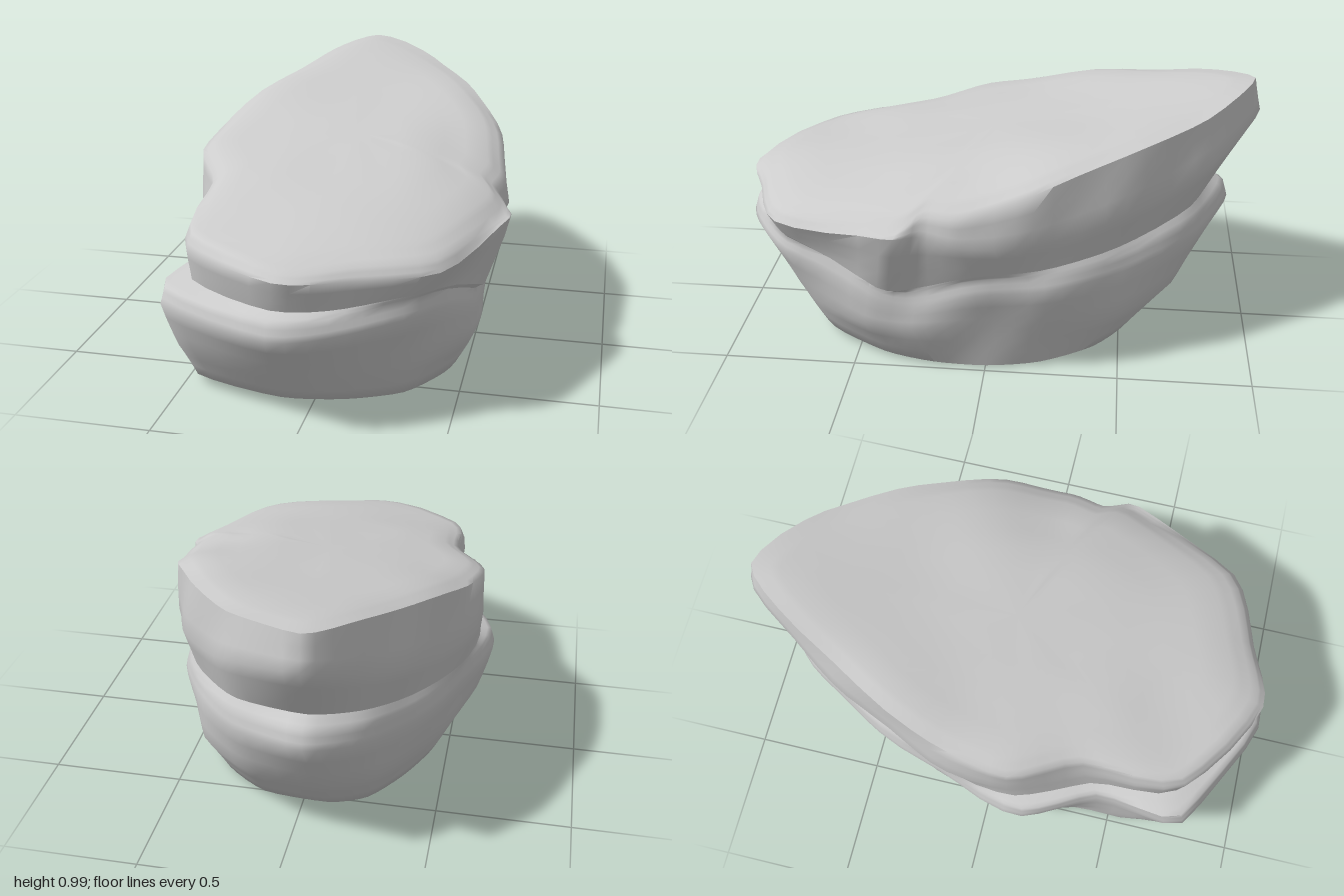
import * as THREE from 'three';
import { toCreasedNormals } from 'three/addons/utils/BufferGeometryUtils.js';

const SEGMENTS = 64;

// Outlines as x, z pairs: front, then round by +x, the back and -x
const FOOT = [-.1, .77, .13, .73, .31, .62, .43, .4, .47, .2, .47, 0, .43, -.2, .32, -.4,
  .15, -.53, -.1, -.56, -.24, -.49, -.35, -.32, -.44, -.1, -.49, .12, -.48, .43, -.44, .65];
const FLANK = [-.1, .87, .14, .82, .35, .69, .52, .45, .54, .27, .52, .02, .48, -.22, .38, -.5,
  .18, -.69, -.1, -.75, -.27, -.65, -.41, -.44, -.52, -.15, -.59, .15, -.5, .45, -.48, .73];
const SHOULDER = [-.08, 1, .17, .92, .39, .77, .53, .43, .54, .26, .55, .03, .53, -.22, .41, -.5,
  .2, -.77, -.08, -.9, -.27, -.77, -.42, -.52, -.55, -.18, -.64, .17, -.51, .44, -.52, .78];
const CRACK = [-.08, .93, .16, .89, .4, .76, .56, .39, .53, .25, .55, .03, .52, -.2, .39, -.48,
  .18, -.74, -.08, -.83, -.25, -.72, -.39, -.51, -.54, -.18, -.59, .13, -.47, .4, -.42, .73];
const BULGE = [-.06, .98, .18, .91, .46, .78, .64, .35, .59, .22, .62, .08, .57, -.18, .42, -.5,
  .2, -.81, -.1, -1, -.27, -.8, -.41, -.56, -.56, -.2, -.6, .1, -.48, .37, -.43, .75];

const blob = (x, z, cx, cz, r) => Math.exp(-((x - cx) ** 2 + (z - cz) ** 2) / (r * r));
const back = z => Math.max(0, -z) ** 2;
const sideNotch = (x, z) => .09 * blob(x, z, .55, .3, .2) - .04 * blob(x, z, .37, .8, .25);

// Heights of the layers over the plan
const footY = (x, z) => .01 + .08 * z * z;
const flankY = (x, z) => .2 + .09 * back(z);
const shoulderY = (x, z) => .38 + .16 * back(z) - sideNotch(x, z);
const lipY = (x, z) => .44 + .18 * back(z) - sideNotch(x, z);
const crackY = (x, z) => .46 + .22 * back(z) - sideNotch(x, z);
const bulgeY = (x, z) => .585 + .29 * back(z) + .05 * blob(x, z, .64, .35, .25);
const topY = (x, z) => .64 + (.9 - z) * .197 - (x > 0 ? .08 : .055) * (x / .6) ** 4
  - .03 * blob(x, z, -.28, .62, .26) + .008 * Math.sin(5 * x + 4 * z);
const rimY = (x, z) => topY(x, z) - .015;

function ring(outline, height, scale = 1) {
  const points = [];
  for (let i = 0; i < outline.length; i += 2) {
    points.push(new THREE.Vector3(outline[i], 0, outline[i + 1]));
  }
  const curve = new THREE.CatmullRomCurve3(points, true, 'catmullrom', 0.35);
  return Array.from({ length: SEGMENTS }, (_, i) => {
    const p = curve.getPoint(i / SEGMENTS).multiplyScalar(scale);
    p.y = height(p.x, p.z);
    return p;
  });
}

// Gentle dents, the same at every shared edge
function weather(p) {
  const { x, y, z } = p;
  const dent = Math.sin(9 * x + 7 * y + 2) * Math.sin(8 * z - 6 * y)
    + .6 * Math.sin(17 * z + 11 * y + 5 * x);
  const amount = .014 * dent * Math.min(1, Math.hypot(x, z) * 2);
  return new THREE.Vector3(x * (1 + amount), y + amount * .3, z * (1 + amount * .3));
}

// Skin a stack of rings, with extra rows between each pair
function loft(rings, rows = 3) {
  const levels = [];
  rings.forEach((r, k) => {
    const next = rings[k + 1];
    const count = next ? rows : 1;
    for (let j = 0; j < count; j++) {
      levels.push(r.map((p, i) => weather(next ? p.clone().lerp(next[i], j / rows) : p)));
    }
  });
  const positions = levels.flat().flatMap(p => [p.x, p.y, p.z]);
  const index = [];
  for (let k = 0; k < levels.length - 1; k++) {
    for (let i = 0; i < SEGMENTS; i++) {
      const a = k * SEGMENTS + i;
      const b = k * SEGMENTS + (i + 1) % SEGMENTS;
      index.push(a, b, b + SEGMENTS, a, b + SEGMENTS, a + SEGMENTS);
    }
  }
  const geometry = new THREE.BufferGeometry();
  geometry.setAttribute('position', new THREE.Float32BufferAttribute(positions, 3));
  geometry.setIndex(index);
  return toCreasedNormals(geometry, 1.1);
}

export function createModel() {
  const group = new THREE.Group();
  group.name = 'rock';
  const stone = new THREE.MeshStandardMaterial({ color: 0xcccccc });
  stone.name = 'pale grey stone';

  const add = (name, rings) => {
    const mesh = new THREE.Mesh(loft(rings), stone);
    mesh.name = name;
    group.add(mesh);
  };

  // Lower slab, from the underside up over its rounded lip to the crack
  add('lowerSlab', [
    ring(FOOT, footY, 0.001),
    ring(FOOT, footY, 0.5),
    ring(FOOT, footY),
    ring(FLANK, flankY),
    ring(SHOULDER, shoulderY),
    ring(SHOULDER, lipY, 0.98),
    ring(CRACK, crackY),
  ]);

  // Upper slab, from the crack to the sloping top
  add('upperSlab', [
    ring(CRACK, crackY),
    ring(BULGE, bulgeY),
    ring(BULGE, rimY, 0.97),
    ring(BULGE, topY, 0.86),
    ring(BULGE, topY, 0.45),
    ring(BULGE, topY, 0.001),
  ]);

  // Rest on the ground, centred
  const box = new THREE.Box3().setFromObject(group);
  const centre = box.getCenter(new THREE.Vector3());
  group.children.forEach(mesh => mesh.geometry.translate(-centre.x, -box.min.y, -centre.z));
  return group;
}
